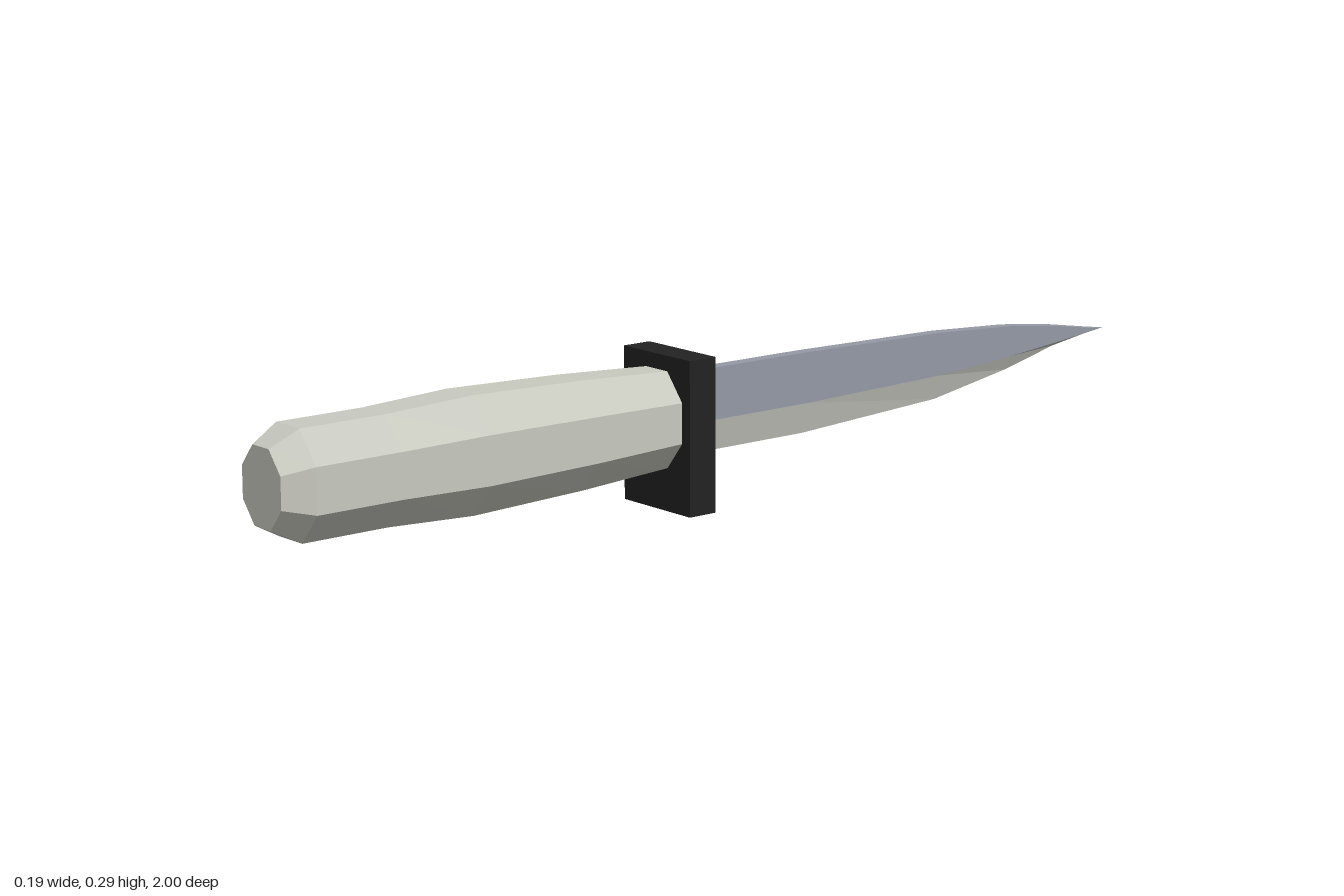
import * as THREE from 'three';

const material = (name, color) => {
  const m = new THREE.MeshStandardMaterial({ color });
  m.name = name;
  return m;
};

// Flat-faceted skin over rings of points, ordered from low z to high z,
// each ring running counter-clockwise as seen from +z.
function loft(rings, closed = false) {
  const pos = [];
  const tri = (...pts) => pts.forEach((p) => pos.push(...p));
  const n = rings[0].length;
  for (let i = 0; i < rings.length - 1; i++) {
    for (let j = 0; j < (closed ? n : n - 1); j++) {
      const k = (j + 1) % n;
      const [a, b, c, d] = [rings[i][j], rings[i][k], rings[i + 1][k], rings[i + 1][j]];
      tri(a, b, c);
      tri(a, c, d);
    }
  }
  if (closed) {
    const first = rings[0], last = rings[rings.length - 1];
    for (let j = 1; j < n - 1; j++) {
      tri(first[0], first[j + 1], first[j]);
      tri(last[0], last[j], last[j + 1]);
    }
  }
  const g = new THREE.BufferGeometry();
  g.setAttribute('position', new THREE.Float32BufferAttribute(pos, 3));
  g.computeVertexNormals();
  return g;
}

export function createModel() {
  const group = new THREE.Group();
  const gripMat = material('pale grip', 0xc8c9bf);
  const guardMat = material('black guard', 0x222222);
  const steelMat = material('blue-grey steel', 0x959aa6);
  const edgeMat = material('ground edge', 0xc4c5be);
  const add = (name, geometry, mat) => {
    const mesh = new THREE.Mesh(geometry, mat);
    mesh.name = name;
    group.add(mesh);
    return mesh;
  };

  // Octagonal handle: z, half width, half height
  const grip = [
    [0.14, 0.072, 0.089], [0.35, 0.082, 0.100], [0.59, 0.088, 0.107],
    [0.77, 0.083, 0.099], [0.945, 0.083, 0.099], [1.0, 0.058, 0.070],
  ];
  const k = 0.42;
  const octagon = [[1, -k], [1, k], [k, 1], [-k, 1], [-1, k], [-1, -k], [-k, -1], [k, -1]];
  const gripRings = grip.map(([z, w, h]) => octagon.map(([x, y]) => [x * w, 0.17 + y * h, z]));
  add('handle', loft(gripRings, true), gripMat);

  // Guard plate
  add('guard', new THREE.BoxGeometry(0.188, 0.288, 0.06), guardMat).position.set(0, 0.144, 0.12);

  // Blade stations from the tip: z, half thickness, spine y, bevel y, edge y
  const blade = [
    [-1.0, 0, 0.191, 0.191, 0.191], [-0.955, 0.011, 0.197, 0.190, 0.186],
    [-0.86, 0.013, 0.213, 0.181, 0.172], [-0.73, 0.013, 0.229, 0.169, 0.141],
    [-0.54, 0.013, 0.240, 0.156, 0.108], [-0.2, 0.013, 0.246, 0.149, 0.090],
    [0.1, 0.013, 0.247, 0.149, 0.090],
  ];
  // Flat sides and spine
  add('blade', loft(blade.map(([z, t, spine, bevel]) =>
    [[t, bevel, z], [t, spine, z], [-t, spine, z], [-t, bevel, z]])), steelMat);
  // Sharpened bevels meeting at the cutting edge
  add('cuttingEdge', loft(blade.map(([z, t, , bevel, edge]) =>
    [[-t, bevel, z], [0, edge, z], [t, bevel, z]])), edgeMat);

  return group;
}
